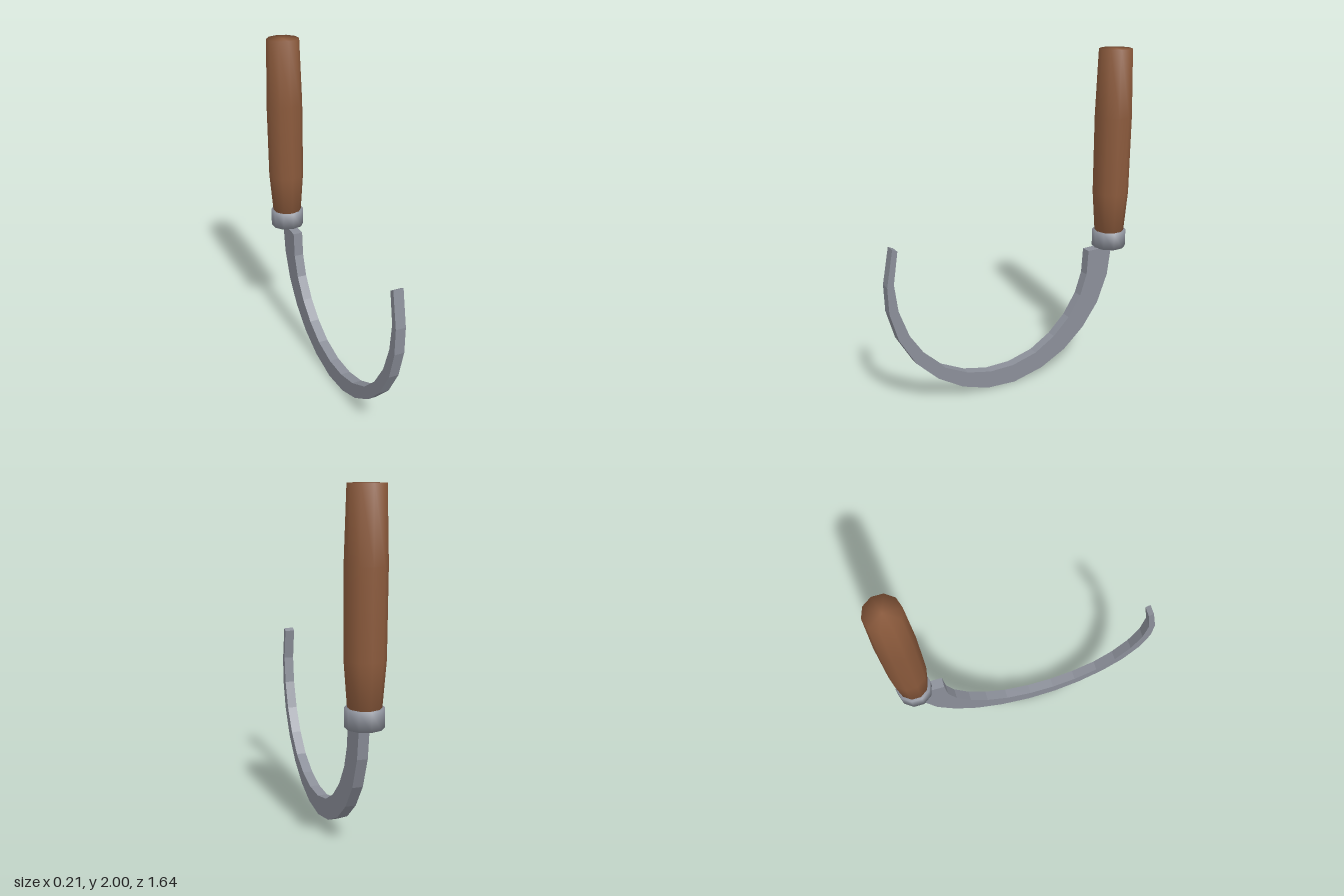
import * as THREE from 'three';

const wood = new THREE.MeshStandardMaterial({ color: 0x8b5a3c });
wood.name = 'wood';
const steel = new THREE.MeshStandardMaterial({ color: 0x8b8f99 });
steel.name = 'steel';

const HANDLE_Z = -0.705;
const vec = ([a, b]) => new THREE.Vector2(a, b);

// Ten-sided turned part on the handle axis, profile as [radius, y] from bottom to top
function turned(name, profile, material) {
  const mesh = new THREE.Mesh(new THREE.LatheGeometry(profile.map(vec), 10), material);
  mesh.name = name;
  mesh.position.z = HANDLE_Z;
  return mesh;
}

// Blade stations from ferrule to tip: outer [z, y] and inner [z, y]
const outer = [
  [-0.705, 0.77], [-0.68, 0.58], [-0.61, 0.4], [-0.5, 0.25], [-0.36, 0.13],
  [-0.19, 0.045], [0.01, 0.0], [0.2, 0.012], [0.37, 0.07], [0.53, 0.17],
  [0.665, 0.305], [0.765, 0.475], [0.815, 0.65], [0.82, 0.81], [0.78, 1.025],
];
const inner = [
  [-0.53, 0.765], [-0.52, 0.61], [-0.475, 0.475], [-0.39, 0.345], [-0.28, 0.24],
  [-0.145, 0.16], [0.02, 0.118], [0.18, 0.118], [0.335, 0.155], [0.485, 0.23],
  [0.605, 0.345], [0.7, 0.49], [0.76, 0.655], [0.78, 0.82], [0.75, 1.01],
];

function makeBlade() {
  const thickness = 0.06;
  const shape = new THREE.Shape([...outer, ...[...inner].reverse()].map(vec));
  const geometry = new THREE.ExtrudeGeometry(shape, { depth: thickness, bevelEnabled: false });
  // Centre the thickness, then turn the outline into the z-y plane
  geometry.translate(0, 0, -thickness / 2);
  geometry.rotateY(-Math.PI / 2);
  const mesh = new THREE.Mesh(geometry, steel);
  mesh.name = 'curvedBlade';
  return mesh;
}

export function createModel() {
  const group = new THREE.Group();
  group.name = 'sickle';
  group.add(
    turned('handle', [[0, 0.86], [0.09, 0.86], [0.11, 1.12], [0.112, 1.6], [0.1, 2], [0, 2]], wood),
    turned('ferrule', [[0, 0.765], [0.105, 0.765], [0.105, 0.872], [0, 0.872]], steel),
    makeBlade(),
  );
  return group;
}
